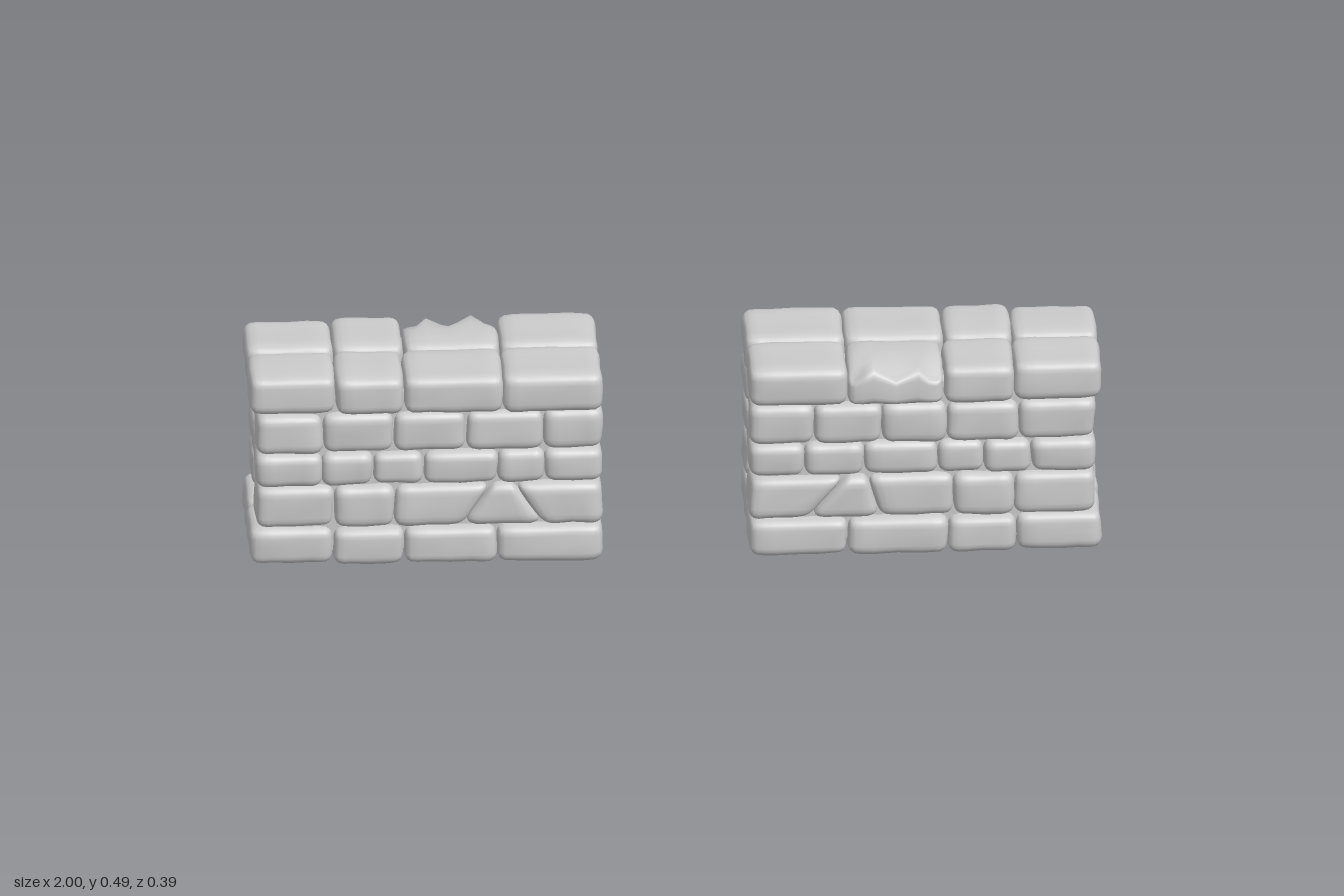
import * as THREE from 'three';
import { mergeVertices } from 'three/addons/utils/BufferGeometryUtils.js';

const material = new THREE.MeshStandardMaterial({ color: 0xcccccc });

function seeded(seed) {
  return () => {
    seed = (seed * 16807) % 2147483647;
    return seed / 2147483647;
  };
}

// Heights of the five courses, bottom to top
const courses = [[0.003, 0.096], [0.097, 0.203], [0.205, 0.288], [0.287, 0.388], [0.387, 0.482]];

// Joints along each face; a pair is a slanted joint [x at bottom, x at top]
const frontJoints = [
  [-1, -0.805, -0.638, -0.42, -0.172],
  [-0.985, -0.802, -0.66, [-0.5, -0.43], [-0.31, -0.38], -0.172],
  [-0.985, -0.83, -0.712, -0.592, -0.417, -0.308, -0.172],
  [-0.985, -0.828, -0.662, -0.492, -0.31, -0.172],
  [-1, -0.798, -0.638, -0.405, -0.172],
];
const backJoints = [
  [-1, -0.8, -0.638, -0.404, -0.172],
  [-0.985, -0.794, -0.652, [-0.48, -0.45], [-0.31, -0.4], -0.172],
  [-0.985, -0.834, -0.724, -0.615, -0.442, -0.302, -0.172],
  [-0.985, -0.805, -0.635, -0.484, -0.324, -0.172],
  [-1, -0.795, -0.63, -0.404, -0.172],
];

// Worn stone: a rounded block with slanted sides and gently uneven faces
function stone(name, left, right, [y0, y1], z0, z1, rand, chip = 0) {
  const pair = (v) => (Array.isArray(v) ? v : [v, v]);
  const [l0, l1] = pair(left), [r0, r1] = pair(right);
  const size = new THREE.Vector3((r0 + r1 - l0 - l1) / 2, y1 - y0, z1 - z0);
  const radius = Math.min(0.026, size.x * 0.3, size.y * 0.3, size.z * 0.3);
  const inner = size.clone().multiplyScalar(0.5).subScalar(radius);
  const phase = [rand() * 6, rand() * 6, rand() * 6];
  let geo = new THREE.BoxGeometry(2, 2, 2, 8, 8, 8);
  geo.deleteAttribute('normal');
  geo.deleteAttribute('uv');
  geo = mergeVertices(geo);
  const pos = geo.attributes.position;
  const p = new THREE.Vector3(), core = new THREE.Vector3();
  const crowd = (t) => Math.sign(t) * Math.pow(Math.abs(t), 0.55);
  for (let i = 0; i < pos.count; i++) {
    p.fromBufferAttribute(pos, i);
    p.set(crowd(p.x), crowd(p.y), crowd(p.z)).multiply(size).multiplyScalar(0.5);
    core.copy(p).clamp(inner.clone().negate(), inner);
    p.sub(core).normalize();
    const bump = Math.sin(core.x * 42 + phase[0]) * Math.sin(core.y * 48 + phase[1] + core.x * 20)
      + 0.6 * Math.sin(core.z * 45 + phase[2] + core.y * 25);
    p.multiplyScalar(radius + bump * 0.0022).add(core);
    const u = p.x / size.x + 0.5, v = p.y / size.y + 0.5;
    const x = THREE.MathUtils.lerp(l0 + (l1 - l0) * v, r0 + (r1 - r0) * v, u);
    let y = y0 + v * size.y;
    const z = (z0 + z1) / 2 + p.z;
    // Broken upper edge on the outer side
    if (chip) {
      const edge = THREE.MathUtils.smoothstep(-z, 0.12, 0.17);
      y -= chip * edge * v * (0.5 + 0.5 * Math.sin(u * 15));
    }
    pos.setXYZ(i, x, y, z);
  }
  geo.computeVertexNormals();
  const mesh = new THREE.Mesh(geo, material);
  mesh.name = name;
  return mesh;
}

function createWall(name) {
  const wall = new THREE.Group();
  wall.name = name;
  const rand = seeded(4711);

  // Mortar filling behind the joints
  const mortar = new THREE.Mesh(new THREE.BoxGeometry(0.75, 0.4, 0.312), material);
  mortar.name = 'mortarCore';
  mortar.position.set(-0.586, 0.235, 0);
  wall.add(mortar);

  courses.forEach((course, row) => {
    const capping = row === 0 || row === 4;
    // Long faces
    [[frontJoints[row], 1, 'frontStone'], [backJoints[row], -1, 'backStone']].forEach(([joints, side, label]) => {
      for (let i = 0; i < joints.length - 1; i++) {
        const last = i === joints.length - 2;
        const atEnd = i === 0 || last;
        const depth = (capping ? (i === 0 ? 0.178 : 0.191) : 0.178 + rand() * 0.011);
        const near = capping ? 0.002 : atEnd ? 0.056 : 0.075;
        const chip = row === 4 && side < 0 && i === 2 ? 0.03 : 0;
        const z = side > 0 ? [near, depth] : [-depth, -near];
        wall.add(stone(label, joints[i], joints[i + 1], course, z[0], z[1], rand, chip));
      }
    });
    // Middle stone of each end in the three inner courses
    if (!capping) {
      const half = [0, 0.059, 0.062, 0.045][row];
      const inset = [0, 0.008, 0, 0.008][row];
      wall.add(stone('outerEndStone', -0.985 + inset, -0.85, course, -half, half, rand));
      wall.add(stone('innerEndStone', -0.32, -0.174 - inset, course, -half, half, rand));
    }
  });
  return wall;
}

export function createModel() {
  const model = new THREE.Group();
  model.name = 'stoneWallPair';
  const rightWall = createWall('rightWall');
  // The second wall is the first one turned half way round
  const leftWall = createWall('leftWall');
  leftWall.rotation.y = Math.PI;
  model.add(rightWall, leftWall);
  return model;
}
